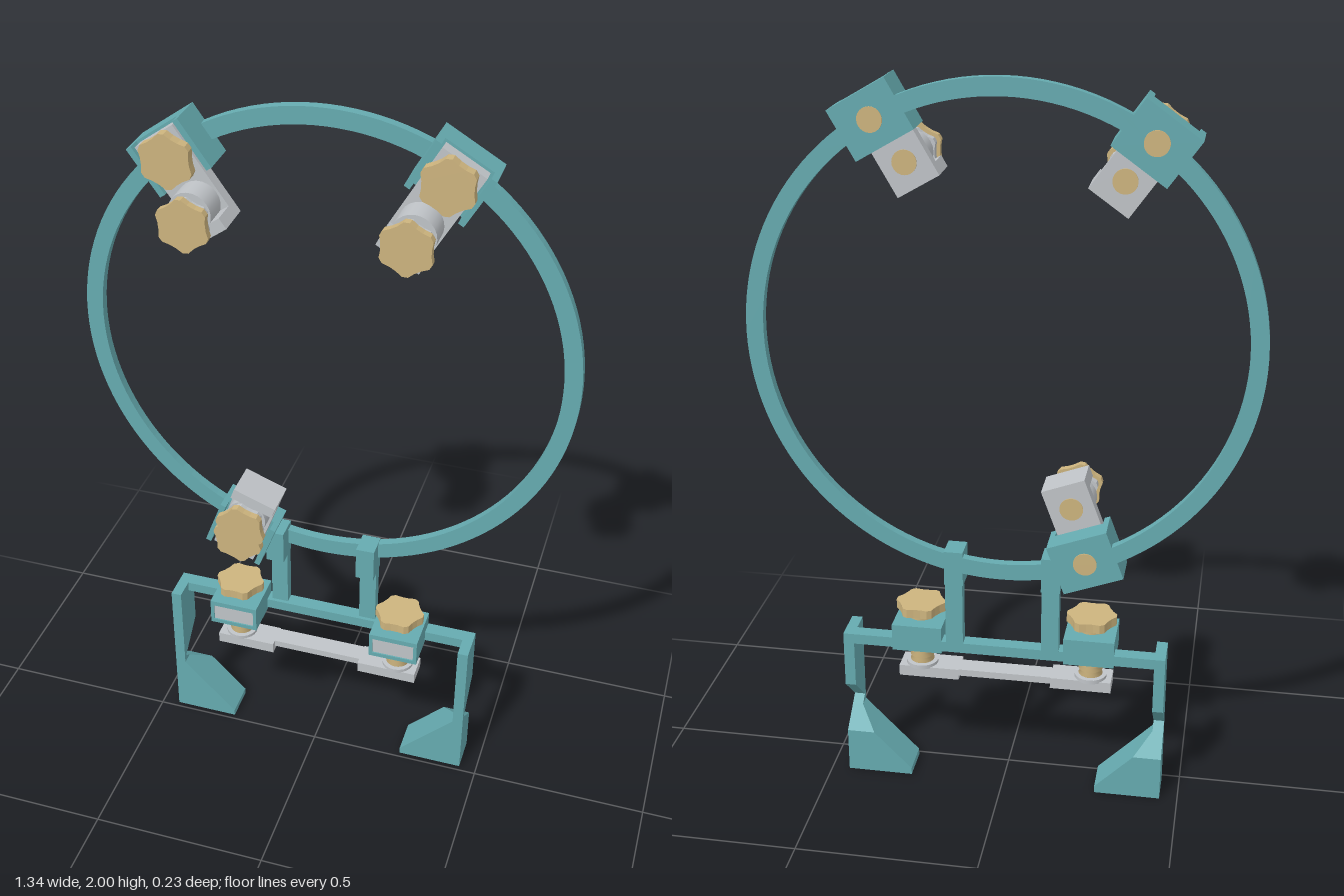
import * as THREE from 'three';

const mat = (name, color, side = THREE.FrontSide) => {
  const m = new THREE.MeshStandardMaterial({ color, side });
  m.name = name;
  return m;
};

export function createModel() {
  const teal = mat('teal', 0x66abb0), grey = mat('light grey', 0xc0c4c8), gold = mat('brass', 0xcdb47e);
  const root = new THREE.Group();
  root.name = 'ringStand';

  const add = (parent, name, geo, material) => {
    const m = new THREE.Mesh(geo, material);
    m.name = name;
    parent.add(m);
    return m;
  };
  // Box given by its minimum and maximum corners
  const box = (parent, name, material, [x0, y0, z0], [x1, y1, z1]) => {
    const g = new THREE.BoxGeometry(x1 - x0, y1 - y0, z1 - z0);
    g.translate((x0 + x1) / 2, (y0 + y1) / 2, (z0 + z1) / 2);
    return add(parent, name, g, material);
  };
  // Cylinder along z
  const rod = (parent, name, material, r, y, z0, z1, sides = 24) => {
    const g = new THREE.CylinderGeometry(r, r, z1 - z0, sides);
    g.rotateX(Math.PI / 2);
    g.translate(0, y, (z0 + z1) / 2);
    return add(parent, name, g, material);
  };
  // Six-lobed knob with shallow scallops, extruded along z
  const knobGeometry = (r, depth) => {
    const s = new THREE.Shape(), n = 6;
    for (let i = 0; i < n; i++) {
      const a = (i / n) * Math.PI * 2, step = Math.PI * 2 / n;
      const p = (t, k) => [Math.cos(a + t * step) * r * k, Math.sin(a + t * step) * r * k];
      i ? s.lineTo(...p(-0.1, 0.99)) : s.moveTo(...p(-0.1, 0.99));
      s.lineTo(...p(0.1, 0.99));
      s.lineTo(...p(0.35, 0.87));
      s.lineTo(...p(0.65, 0.87));
    }
    s.closePath();
    return new THREE.ExtrudeGeometry(s, { depth, bevelEnabled: false });
  };
  const knob = (parent, r, y, z0, z1) => {
    const m = add(parent, 'knob', knobGeometry(r, z1 - z0), gold);
    m.position.set(0, y, z0);
    return m;
  };

  // Large ring
  const ringShape = new THREE.Shape().absarc(0, 0, 0.67, 0, Math.PI * 2);
  ringShape.holes.push(new THREE.Path().absarc(0, 0, 0.624, 0, Math.PI * 2, true));
  const ring = add(root, 'ring', new THREE.ExtrudeGeometry(ringShape,
    { depth: 0.025, bevelEnabled: false, curveSegments: 64 }), teal);
  ring.position.set(0, 1.33, -0.115);

  // Clamps on the ring: local y points away from the ring centre
  for (const degrees of [60, 125.5, 249.6]) {
    const c = new THREE.Group();
    c.name = 'ringClamp';
    c.position.set(0, 1.33, 0);
    c.rotation.z = THREE.MathUtils.degToRad(degrees - 90);
    root.add(c);
    box(c, 'clampBlock', teal, [-0.085, 0.573, -0.115], [0.085, 0.715, -0.047]);
    for (const s of [-1, 1])
      box(c, 'clampWall', teal, [s * 0.077 - 0.008, 0.573, -0.047], [s * 0.077 + 0.008, 0.715, -0.012]);
    box(c, 'slider', grey, [-0.062, 0.44, -0.047], [0.062, 0.708, -0.014]);
    box(c, 'jawWall', grey, [-0.062, 0.44, -0.014], [0.062, 0.472, 0.055]);
    rod(c, 'jawBarrel', grey, 0.056, 0.516, -0.014, 0.055);
    rod(c, 'jawScrew', gold, 0.032, 0.51, -0.05, 0.1);
    const washer = add(c, 'washer', knobGeometry(0.06, 0.022), grey);
    washer.position.set(0, 0.51, 0.073);
    knob(c, 0.071, 0.51, 0.095, 0.115);
    knob(c, 0.073, 0.645, -0.014, 0.012);
    rod(c, 'blockScrew', gold, 0.032, 0.645, -0.118, -0.014);
  }

  // Legs with inward wedge feet and a V notch in the back: [y, inner x, back z]
  const levels = [[0, 0.265, -0.115], [0.02, 0.265, -0.115], [0.13, 0.372, -0.115], [0.18, 0.42, -0.05],
    [0.2, 0.42, -0.025], [0.285, 0.42, -0.115], [0.45, 0.42, -0.115]];
  const legGeometry = (side) => {
    const pos = [], idx = [];
    for (const [y, xi, zb] of levels)
      for (const [x, z] of [[xi, zb], [0.45, zb], [0.45, -0.015], [xi, -0.015]]) pos.push(side * x, y, z);
    const quad = (a, b, c, d) => side > 0 ? idx.push(a, c, b, a, d, c) : idx.push(a, b, c, a, c, d);
    for (let i = 0; i < levels.length - 1; i++)
      for (let j = 0; j < 4; j++) {
        const k = (j + 1) % 4, o = i * 4;
        quad(o + j, o + k, o + 4 + k, o + 4 + j);
      }
    const t = (levels.length - 1) * 4;
    quad(3, 2, 1, 0);
    quad(t, t + 1, t + 2, t + 3);
    let g = new THREE.BufferGeometry();
    g.setAttribute('position', new THREE.Float32BufferAttribute(pos, 3));
    g.setIndex(idx);
    g = g.toNonIndexed();
    g.computeVertexNormals();
    return g;
  };

  // Cross beam
  box(root, 'crossBeam', teal, [-0.44, 0.42, -0.115], [0.44, 0.45, -0.075]);

  // Threaded screw profile
  const thread = [new THREE.Vector2(0, 0.335)];
  for (let i = 0; i < 5; i++)
    thread.push(new THREE.Vector2(0.023, 0.345 + i * 0.016), new THREE.Vector2(0.034, 0.353 + i * 0.016));
  thread.push(new THREE.Vector2(0.023, 0.425), new THREE.Vector2(0.023, 0.515));

  for (const s of [-1, 1]) {
    add(root, s > 0 ? 'leftLeg' : 'rightLeg', legGeometry(s), teal);

    // Upright with a hook that holds the ring
    const u = s * 0.133;
    box(root, 'upright', teal, [u - 0.024, 0.44, -0.115], [u + 0.024, 0.64, -0.085]);
    box(root, 'ringHook', teal, [u - 0.026, 0.63, -0.115], [u + 0.026, 0.73, -0.045]);

    // Framed screw bracket: open at the front, filled by a nut
    const b = new THREE.Group();
    b.name = 'screwBracket';
    b.position.x = s * 0.24;
    root.add(b);
    box(b, 'bracketTop', teal, [-0.07, 0.475, -0.115], [0.07, 0.49, 0.025]);
    box(b, 'bracketBottom', teal, [-0.07, 0.412, -0.115], [0.07, 0.424, 0.025]);
    box(b, 'bracketBack', teal, [-0.07, 0.424, -0.115], [0.07, 0.475, -0.095]);
    for (const w of [-1, 1])
      box(b, 'bracketSide', teal, [w * 0.065 - 0.005, 0.424, -0.095], [w * 0.065 + 0.005, 0.475, 0.025]);
    box(b, 'nut', grey, [-0.06, 0.424, -0.095], [0.06, 0.475, 0.021]);
    const screw = add(b, 'threadedScrew', new THREE.LatheGeometry(thread, 20), gold);
    screw.position.z = -0.045;
    const collar = add(b, 'screwCollar', new THREE.CylinderGeometry(0.035, 0.035, 0.022, 20), gold);
    collar.position.set(0, 0.502, -0.045);
    const k = knob(b, 0.07, 0.512, -0.045, -0.019);
    k.rotation.x = -Math.PI / 2;
    k.position.z = -0.045;

    // End pad of the pressure bar
    box(root, 'barPad', grey, [s * 0.215 - 0.085, 0.31, -0.08], [s * 0.215 + 0.085, 0.342, -0.005]);
    const seat = add(b, 'screwSeat', new THREE.CylinderGeometry(0.045, 0.045, 0.012, 20), grey);
    seat.position.set(0, 0.345, -0.045);
  }
  // Middle of the pressure bar
  box(root, 'pressureBar', grey, [-0.14, 0.322, -0.077], [0.14, 0.342, -0.022]);

  return root;
}
